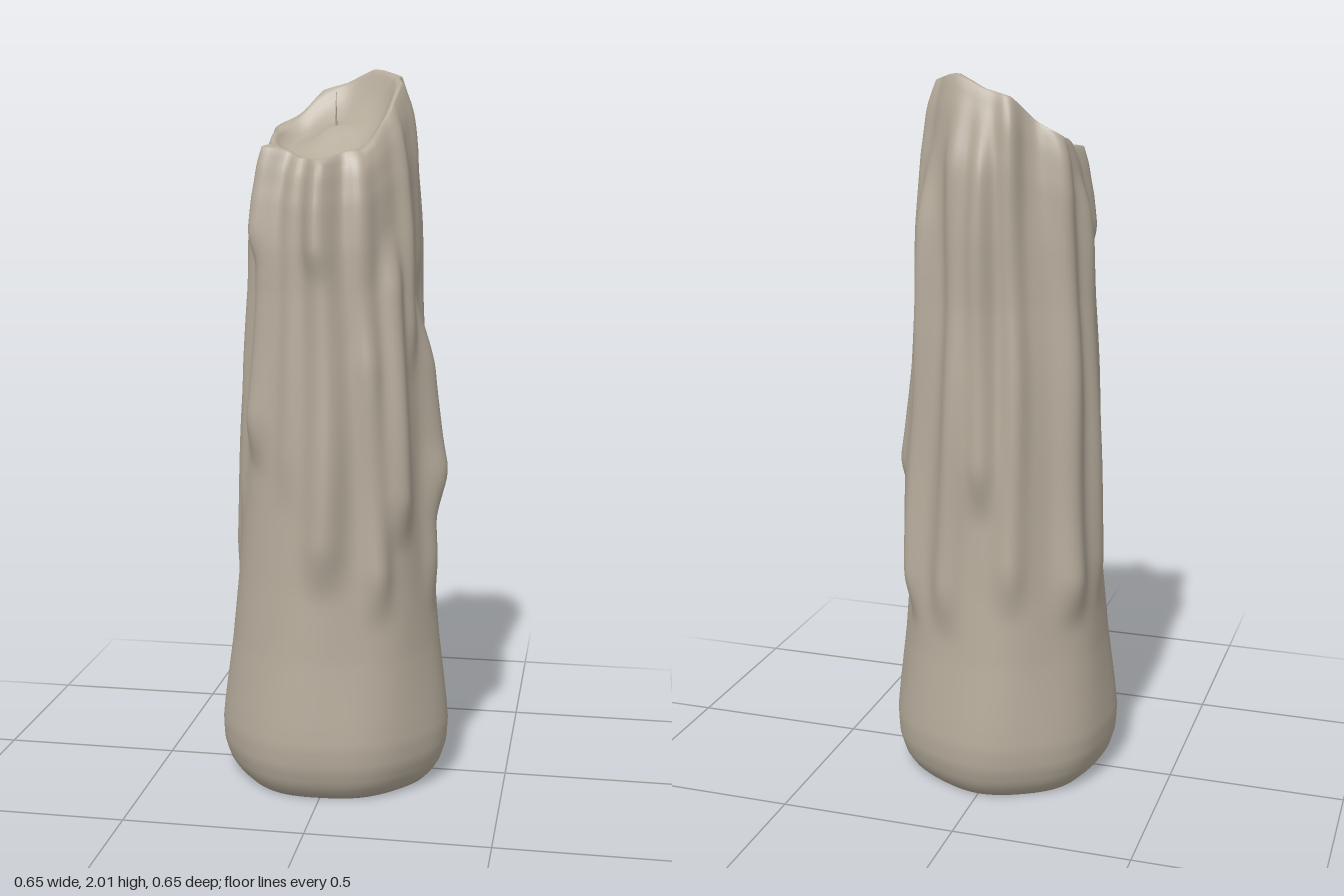
import * as THREE from 'three';

const SECTORS = 160, ROWS = 90;

// Linear interpolation through [position, value] pairs
function interp(points, x) {
  if (x <= points[0][0]) return points[0][1];
  for (let i = 1; i < points.length; i++) {
    const [x0, v0] = points[i - 1], [x1, v1] = points[i];
    if (x <= x1) return v0 + (v1 - v0) * (x - x0) / (x1 - x0);
  }
  return points[points.length - 1][1];
}

// Height of the melted rim by angle (0 = +x, 90 = front)
const RIM = [[0, 1.955], [20, 1.9], [40, 1.83], [58, 1.78], [70, 1.785], [90, 1.76], [115, 1.765], [130, 1.79],
  [142, 1.8], [160, 1.8], [185, 1.83], [210, 1.84], [230, 1.89], [250, 1.95], [272, 1.965], [285, 1.985],
  [300, 2.005], [325, 1.99], [342, 1.975], [360, 1.955]];

// Radius of the wax body between the drips
const BODY = [[0, 0.27], [0.02, 0.29], [0.05, 0.308], [0.1, 0.323], [0.16, 0.326], [0.22, 0.32], [0.4, 0.297], [0.6, 0.279],
  [0.8, 0.266], [1, 0.255], [1.2, 0.243], [1.4, 0.229], [1.6, 0.224], [1.8, 0.213], [1.93, 0.198], [2, 0.18]];

// Drips: [angle, half width, bulge, lower end, upper end]
const DRIPS = [
  [88, 10, 0.034, 0.66, 2.3], [93, 8, 0.024, 1.55, 2.3], [112, 7, 0.012, 0.9, 2.3],
  [135, 10, 0.038, 1.0, 2.3], [138, 8, 0.028, 1.6, 2.3],
  [165, 8, 0.014, 0.8, 1.75], [185, 10, 0.022, 0.6, 1.8], [212, 10, 0.04, 0.57, 2.3],
  [250, 8, 0.028, 0.62, 2.0], [270, 8, 0.034, 0.9, 1.85],
  [288, 9, 0.03, 0.55, 1.85], [318, 8, 0.04, 0.55, 1.7],
  [333, 7, 0.026, 0.62, 2.0], [350, 8, 0.018, 1.45, 1.95], [0, 12, 0.05, 0.84, 1.27],
  [6, 9, 0.026, 0.58, 0.86], [22, 7, 0.018, 1.25, 1.95], [40, 9, 0.04, 0.78, 1.5],
  [58, 8, 0.03, 0.58, 1.3], [62, 9, 0.018, 1.35, 2.0],
];

function dripBulge(deg, y) {
  let sum = 0;
  for (const [angle, width, bulge, low, high] of DRIPS) {
    const centre = angle + 1.5 * Math.sin(y * 5 + angle);
    const d = ((deg - centre + 540) % 360) - 180;
    const fade = THREE.MathUtils.smoothstep(y, low - 0.1, low + 0.08)
      * (1 - THREE.MathUtils.smoothstep(y, high - 0.1, high + 0.15));
    const ripple = 1 + 0.12 * Math.sin(y * 9 + angle * 2);
    sum += bulge * fade * ripple * Math.exp(-Math.pow(Math.abs(d) / width, 2.2));
  }
  return sum;
}

// Cross-sections from the base, up the wall, over the rim and into the bowl
function waxGeometry() {
  const positions = [], index = [];
  let rings = 0;
  const addRing = (at) => {
    for (let i = 0; i < SECTORS; i++) {
      const deg = i * 360 / SECTORS, a = deg * Math.PI / 180;
      const [r, y] = at(deg, a);
      positions.push(r * Math.cos(a), y, r * Math.sin(a));
    }
    rings++;
  };
  const smoothRim = (deg) => {
    let s = 0;
    for (let k = -2; k <= 2; k++) s += interp(RIM, (deg + k * 7 + 360) % 360) / 5;
    return s;
  };
  const wall = (deg, a, Y) => {
    const top = smoothRim(deg) * 0.3 + interp(RIM, deg) * 0.7;
    const y = Y < 1.4 ? Y : 1.4 + (Y - 1.4) * (top - 1.4) / 0.6;
    const lump = 0.004 * Math.sin(3 * a + 1) * Math.cos(2 * Y) + 0.003 * Math.sin(7 * a + 4 * Y);
    return [interp(BODY, Y) + lump + dripBulge(deg, Y), y];
  };

  // Underside
  addRing(() => [0, 0.008]);
  addRing(() => [0.12, 0.006]);
  addRing(() => [0.24, 0]);
  // Wall, with closer rows at the foot
  for (let j = 0; j <= ROWS; j++) {
    const t = j / ROWS;
    addRing((deg, a) => wall(deg, a, 2 * (0.3 * t * t + 0.7 * t)));
  }
  // Rim lip, easing the drips into a round bowl edge
  for (const [mix, lift] of [[0.3, 0.004], [0.65, 0.003]]) {
    addRing((deg, a) => {
      const [r, y] = wall(deg, a, 2);
      return [THREE.MathUtils.lerp(r, 0.16, mix), y + lift];
    });
  }
  // Bowl
  for (const [r, drop, level] of [[0.16, 0.004, 0.03], [0.148, 0.022, 0.12], [0.125, 0.035, 0.32],
    [0.09, 0.032, 0.58], [0.05, 0.015, 0.82], [0.015, 0, 0.97], [0, 0, 1]]) {
    addRing((deg) => [r, THREE.MathUtils.lerp(smoothRim(deg), 1.85, level) - drop]);
  }

  for (let j = 0; j < rings - 1; j++) {
    for (let i = 0; i < SECTORS; i++) {
      const n = (i + 1) % SECTORS;
      const a = j * SECTORS + i, b = j * SECTORS + n, c = a + SECTORS, d = b + SECTORS;
      if (j > 0) index.push(a, d, b);
      if (j < rings - 2) index.push(a, c, d);
    }
  }
  const geometry = new THREE.BufferGeometry();
  geometry.setAttribute('position', new THREE.Float32BufferAttribute(positions, 3));
  geometry.setIndex(index);
  geometry.computeVertexNormals();
  return geometry;
}

export function createModel() {
  const group = new THREE.Group();
  group.name = 'meltedCandle';
  const wax = new THREE.MeshStandardMaterial({ color: 0xb4aa9a });
  wax.name = 'greyBeigeWax';

  const body = new THREE.Mesh(waxGeometry(), wax);
  body.name = 'waxBody';
  group.add(body);

  // Thin pointed wick in the bowl
  const wick = new THREE.Mesh(new THREE.ConeGeometry(0.005, 0.14, 8), wax);
  wick.name = 'wick';
  wick.position.set(0, 1.88, -0.008);
  group.add(wick);
  return group;
}
